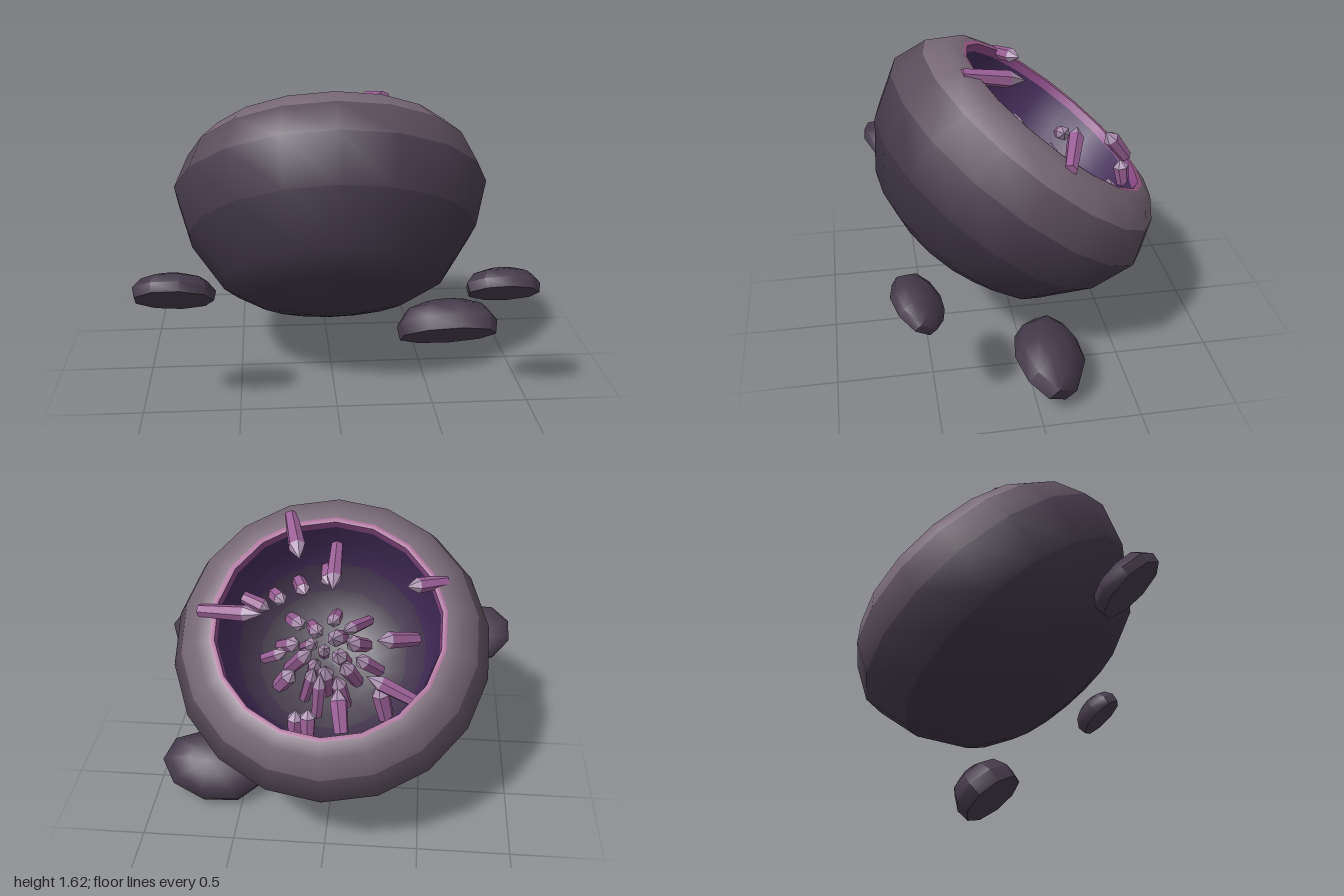
import * as THREE from 'three';
import { toCreasedNormals } from 'three/addons/utils/BufferGeometryUtils.js';

const SIDES = 18;
const mat = (color, flatShading = false) => new THREE.MeshStandardMaterial({ color, flatShading });
const latheGeometry = (profile, sides) =>
  new THREE.LatheGeometry(profile.map(([r, y]) => new THREE.Vector2(r, y)), sides);

function lathe(name, profile, sides, material) {
  const mesh = new THREE.Mesh(latheGeometry(profile, sides), material);
  mesh.name = name;
  return mesh;
}

// One smooth lathe cut into coloured rings that share their normals
function bandedLathe(profile, bands) {
  const whole = latheGeometry(profile, SIDES);
  const rows = profile.length - 1;
  return bands.map(([name, first, last, color]) => {
    const index = [];
    for (let side = 0; side < SIDES; side++) {
      for (let k = 6 * (side * rows + first); k < 6 * (side * rows + last); k++) index.push(whole.index.getX(k));
    }
    const geometry = whole.clone();
    geometry.setIndex(index);
    const mesh = new THREE.Mesh(geometry, mat(color));
    mesh.name = name;
    return mesh;
  });
}

// Small repeatable number generator
function seeded(seed) {
  return () => (seed = (seed * 16807) % 2147483647) / 2147483647;
}

// Six-sided crystal standing at base and pointing to tip
const shaftMat = mat(0x9a6096, true);
const tipMat = mat(0xab90b0, true);
function crystal(base, tip, radius) {
  const from = new THREE.Vector3(...base);
  const dir = new THREE.Vector3(...tip).sub(from);
  const length = dir.length();
  const shoulder = length * 0.72;
  const g = new THREE.Group();
  g.name = 'crystal';
  g.add(
    lathe('crystalShaft', [[0, 0], [radius * 0.8, 0], [radius, shoulder]], 6, shaftMat),
    lathe('crystalTip', [[radius, shoulder], [0, length]], 6, tipMat)
  );
  g.position.copy(from);
  g.quaternion.setFromUnitVectors(new THREE.Vector3(0, 1, 0), dir.normalize());
  return g;
}

// Flat-bottomed domed pebble
function rock(name, position, scale, turn) {
  const mesh = lathe(name, [[0, 0], [0.95, 0], [1, 0.4], [0.8, 0.8], [0.42, 1], [0, 1.03]], 9, mat(0x453b4b));
  mesh.geometry.scale(...scale);
  mesh.geometry = toCreasedNormals(mesh.geometry, 0.85);
  mesh.rotation.y = turn;
  mesh.position.set(...position);
  return mesh;
}

export function createModel() {
  const model = new THREE.Group();
  model.name = 'geode';
  const tilted = new THREE.Group();
  tilted.name = 'tiltedGeode';
  tilted.rotation.x = -0.67;
  tilted.position.set(0, 0.355, 0.455);
  model.add(tilted);

  // Stone shell up to the opening
  tilted.add(...bandedLathe(
    [[0, 0.175], [0.2, 0.18], [0.42, 0.23], [0.585, 0.32], [0.76, 0.566], [0.835, 0.81],
      [0.765, 0.99], [0.675, 1.085], [0.6, 1.11], [0.575, 1.105]],
    [['shellBase', 0, 4, 0x3d3444], ['shellSide', 4, 5, 0x463c4c], ['shellShoulder', 5, 6, 0x5a4d5b],
      ['shellTop', 6, 8, 0x776775], ['openingRim', 8, 9, 0xa0608f]]
  ));

  // Hollow
  tilted.add(...bandedLathe(
    [[0.575, 1.105], [0.568, 1.06], [0.55, 0.92], [0.5, 0.76], [0.4, 0.62], [0.22, 0.53], [0, 0.5]],
    [['cavityEdge', 0, 1, 0x8a4a86], ['cavityWall', 1, 3, 0x432b58],
      ['cavityLowerWall', 3, 4, 0x45364f], ['cavityFloor', 4, 6, 0x49414f]]
  ));

  const crystals = new THREE.Group();
  crystals.name = 'crystals';
  tilted.add(crystals);

  // Crystals on the rim and walls: base, tip, radius
  const wallCrystals = [
    [[0.24, 1.07, 0.62], [0.16, 1.21, 0.31], 0.045],
    [[0.66, 1.09, 0.06], [0.32, 1.2, 0.01], 0.042],
    [[-0.58, 1.07, 0.28], [-0.38, 1.17, 0.2], 0.04],
    [[-0.1, 1.11, -0.55], [-0.07, 1.17, -0.34], 0.045],
    [[0.0, 0.9, 0.54], [0.0, 0.99, 0.24], 0.042],
    [[0.48, 0.9, 0.22], [0.33, 0.88, 0.16], 0.04],
    [[0.38, 0.69, 0.36], [0.27, 0.78, 0.24], 0.042],
    [[0.23, 0.69, 0.44], [0.16, 0.79, 0.29], 0.042],
    [[0.06, 0.73, 0.5], [0.04, 0.81, 0.34], 0.042],
    [[0.07, 1.02, -0.55], [0.07, 1.12, -0.44], 0.042],
    [[0.15, 0.88, -0.53], [0.14, 1.02, -0.42], 0.042],
    [[-0.46, 0.92, -0.32], [-0.2, 1.0, -0.22], 0.042],
    [[-0.31, 0.7, -0.36], [-0.26, 0.9, -0.22], 0.05],
    [[-0.45, 0.75, 0.08], [-0.24, 0.92, 0.0], 0.045],
  ];
  for (const [base, tip, radius] of wallCrystals) crystals.add(crystal(base, tip, radius));

  // Dense cluster on the floor, leaning in to the middle
  const random = seeded(77);
  for (let i = 0; i < 20; i++) {
    const a = i * 2.4;
    const r = 0.36 * Math.sqrt((i + 0.5) / 20);
    const x = 0.06 + r * Math.sin(a);
    const z = r * Math.cos(a);
    const base = new THREE.Vector3(x, 0.49 + 0.6 * r * r, z);
    const length = 0.22 + 0.16 * random();
    const tip = new THREE.Vector3(0.03, 1.0, -0.04).sub(base).setLength(length).add(base);
    crystals.add(crystal(base.toArray(), tip.toArray(), 0.034 + 0.014 * random()));
  }

  // Loose rocks around the foot
  tilted.add(
    rock('backRock', [0.675, 0.13, -0.545], [0.295, 0.2, 0.2], 2.95),
    rock('leftRock', [0.815, 0.15, 0.305], [0.19, 0.12, 0.14], 0.1),
    rock('rightRock', [-0.8, 0.15, 0.34], [0.205, 0.12, 0.175], 0.25)
  );
  return model;
}
